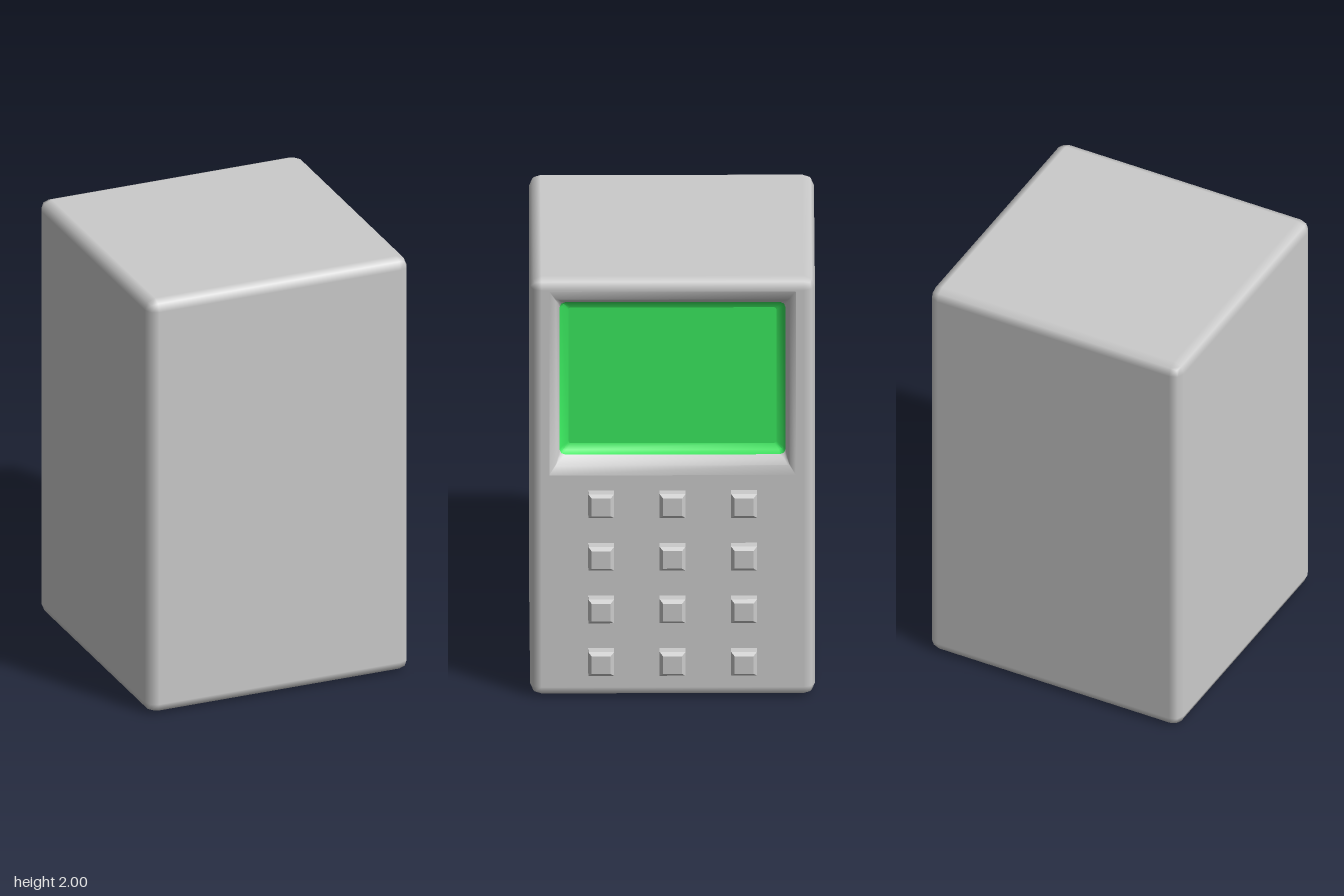
import * as THREE from 'three';
import { RoundedBoxGeometry } from 'three/addons/geometries/RoundedBoxGeometry.js';
import { toCreasedNormals } from 'three/addons/utils/BufferGeometryUtils.js';

const FACE_X = 0.6, BEVEL = 0.05, SCREEN_Y = 1.505;
const grey = new THREE.MeshStandardMaterial({ color: 0xcccccc });
const green = new THREE.MeshStandardMaterial({ color: 0x3aea5f });

function mesh(geometry, material, name) {
  const m = new THREE.Mesh(geometry, material);
  m.name = name;
  return m;
}

// Rounded rectangle around the screen centre, counter-clockwise seen from +x
function ring(halfW, halfH, r) {
  const pts = [];
  [[1, 1], [-1, 1], [-1, -1], [1, -1]].forEach(([sx, sy], c) => {
    for (let i = 0; i <= 2; i++) {
      const a = (c + i / 2) * Math.PI / 2;
      pts.push(new THREE.Vector2(
        sx * (halfW - r) + r * Math.cos(a),
        SCREEN_Y + sy * (halfH - r) + r * Math.sin(a)));
    }
  });
  return pts;
}

// Skin between rings given as [halfWidth, halfHeight, cornerRadius, x]
function loft(rings) {
  const pos = [], idx = [], n = 12;
  for (const [w, h, r, x] of rings) for (const p of ring(w, h, r)) pos.push(x, p.y, -p.x);
  for (let k = 0; k < rings.length - 1; k++) {
    for (let i = 0; i < n; i++) {
      const a = k * n + i, b = k * n + (i + 1) % n;
      idx.push(a, b, b + n, a, b + n, a + n);
    }
  }
  const g = new THREE.BufferGeometry();
  g.setAttribute('position', new THREE.Float32BufferAttribute(pos, 3));
  g.setIndex(idx);
  return toCreasedNormals(g, 0.9);
}

// Flat shape turned to look along +x
function panel(shape, x) {
  return new THREE.ShapeGeometry(shape).rotateY(Math.PI / 2).translate(x, 0, 0);
}

// Bevelled box with its flat +x side removed
function openBody() {
  const g = new RoundedBoxGeometry(1.26, 2, 1.26, 1, BEVEL).translate(-0.03, 1, 0);
  const p = g.attributes.position, keep = [];
  for (let i = 0; i < p.count; i += 3) {
    if (Math.min(p.getX(i), p.getX(i + 1), p.getX(i + 2)) < FACE_X - 1e-4) keep.push(i, i + 1, i + 2);
  }
  g.setIndex(keep);
  return g;
}

export function createModel() {
  const model = new THREE.Group();
  model.add(mesh(openBody(), grey, 'body'));

  // Control face with the screen opening
  const w = 0.63 - BEVEL, rim = [0.545, 0.44, 0.002, FACE_X];
  const face = new THREE.Shape([[-w, BEVEL], [w, BEVEL], [w, 2 - BEVEL], [-w, 2 - BEVEL]]
    .map(([x, y]) => new THREE.Vector2(x, y)));
  face.holes.push(new THREE.Path(ring(...rim.slice(0, 3)).reverse()));
  model.add(mesh(panel(face, FACE_X), grey, 'controlFace'));

  // Rounded rim leading into the recess
  const edge = [0.5, 0.365, 0.025, 0.54];
  model.add(mesh(loft([rim, [0.517, 0.398, 0.005, 0.587], [0.507, 0.38, 0.012, 0.56], edge]), grey, 'screenRim'));

  // Sunken screen with a filleted border
  const screen = new THREE.Group();
  screen.name = 'screen';
  const floor = [0.46, 0.325, 0.01, 0.505];
  screen.add(mesh(loft([edge, [0.488, 0.353, 0.018, 0.515], floor]), green, 'screenBorder'));
  screen.add(mesh(panel(new THREE.Shape(ring(...floor.slice(0, 3))), floor[3]), green, 'screenGlass'));
  model.add(screen);

  // Keypad of chamfered square buttons
  const keypad = new THREE.Group();
  keypad.name = 'keypad';
  const h = 0.042;
  const square = new THREE.Shape([[-h, -h], [h, -h], [h, h], [-h, h]].map(([x, y]) => new THREE.Vector2(x, y)));
  const button = new THREE.ExtrudeGeometry(square, {
    depth: 0.045, bevelEnabled: true, bevelSize: 0.015, bevelThickness: 0.015, bevelSegments: 1,
  }).rotateY(Math.PI / 2);
  for (let row = 0; row < 4; row++) {
    for (let col = -1; col <= 1; col++) {
      const b = mesh(button, grey, 'button');
      b.position.set(FACE_X, 0.18 + row * 0.252, col * 0.316);
      keypad.add(b);
    }
  }
  model.add(keypad);
  return model;
}
